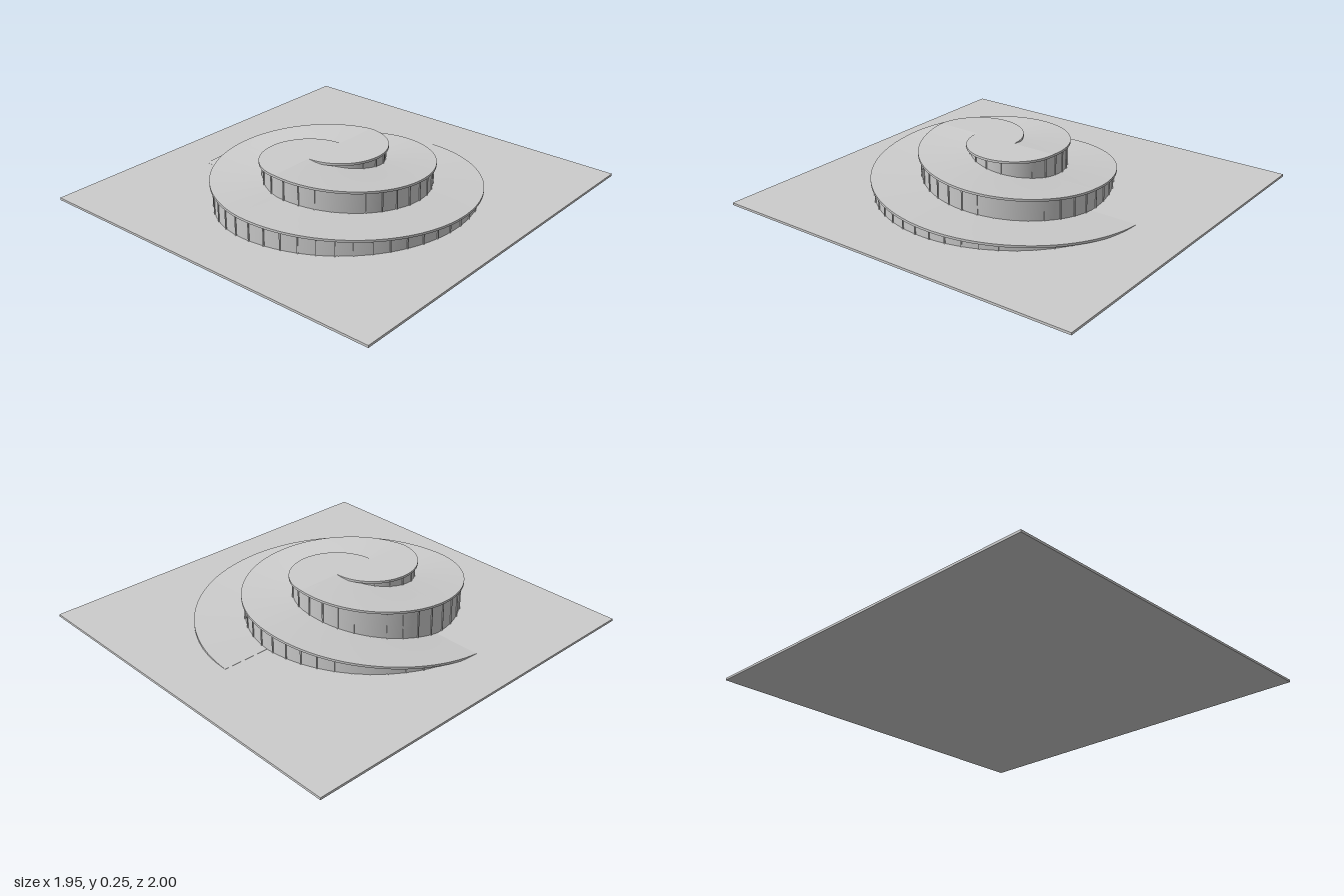
import * as THREE from 'three';

const BASE = 0.012; // plate thickness
const SLAB = 0.012; // ramp thickness
const STEP = 0.2385; // spiral pitch per half turn
const RIGHT = 0.0125; // z centre of the +x semicircles
const LEFT = RIGHT + STEP; // z centre of the -x semicircles
const PI = Math.PI;
const mix = THREE.MathUtils.lerp;
const material = new THREE.MeshStandardMaterial({ color: 0xcccccc });

// Box bent around a vertical axis; bottom and top are [start, end] heights.
function bentBox(name, { cz, a0, a1, rIn, rOut, bottom, top, n }) {
  const geo = new THREE.BoxGeometry(1, 1, 1, n, 1, 1);
  const p = geo.attributes.position;
  for (let i = 0; i < p.count; i++) {
    const t = p.getX(i) + 0.5;
    const a = mix(a0, a1, t);
    const r = mix(rIn, rOut, 0.5 - p.getZ(i));
    const y = mix(mix(...bottom, t), mix(...top, t), p.getY(i) + 0.5);
    p.setXYZ(i, r * Math.sin(a), y, cz - r * Math.cos(a));
  }
  geo.computeVertexNormals();
  const mesh = new THREE.Mesh(geo, material);
  mesh.name = name;
  return mesh;
}

// One arc of ramp with the glazed wall and mullions under its outer edge.
// ring: radius in pitches; top: ramp heights; floor: heights of the surface below.
function rampArc(name, { cz, ring, a0, a1, top, floor }) {
  const group = new THREE.Group();
  group.name = name;
  const r = ring * STEP;
  const n = Math.round((a1 - a0) / PI * 64);
  const under = top.map((y) => y - SLAB);
  group.add(bentBox('rampSlab', {
    cz, a0, a1, n, top, bottom: under,
    rIn: Math.max(0.0005, (ring - 1) * STEP - 0.022), rOut: r,
  }));

  const foot = floor.map((y, i) => Math.max(0.001, Math.min(y - 0.004, under[i])));
  const roof = under.map((y, i) => Math.max(y + 0.003, foot[i]));
  group.add(bentBox('wall', {
    cz, a0, a1, n, bottom: foot, top: roof, rIn: r - 0.021, rOut: r - 0.017,
  }));

  const count = Math.round(r * (a1 - a0) / 0.085);
  const half = 0.003 / r;
  for (let i = 0; i < count; i++) {
    const t = (i + 0.5) / count;
    const a = mix(a0, a1, t);
    const low = mix(...foot, t);
    const high = mix(...roof, t);
    if (high - low < 0.006) continue;
    group.add(bentBox('mullion', {
      cz, a0: a - half, a1: a + half, n: 1,
      bottom: [low, low], top: [high, high], rIn: r - 0.021, rOut: r - 0.012,
    }));
  }
  return group;
}

export function createModel() {
  const model = new THREE.Group();
  model.name = 'spiralRampPavilion';

  const plate = new THREE.Mesh(new THREE.BoxGeometry(1.95, BASE, 2), material);
  plate.name = 'basePlate';
  plate.position.y = BASE / 2;
  model.add(plate);

  const low = 0.013, mid = 0.13, midHigh = 0.19, high = 0.25;
  const ground = [BASE, BASE];

  // First ramp: from the back, round the +x side and up to the centre
  model.add(
    rampArc('firstRampLower', { cz: RIGHT, ring: 3, a0: 0, a1: PI, top: [low, mid], floor: ground }),
    rampArc('firstRampMiddle', { cz: LEFT, ring: 2, a0: PI, a1: 1.5 * PI, top: [mid, midHigh], floor: ground }),
    rampArc('firstRampUpper', { cz: LEFT, ring: 2, a0: 1.5 * PI, a1: 2 * PI, top: [midHigh, high], floor: [low, mid] }),
    rampArc('firstRampTop', { cz: RIGHT, ring: 1, a0: 0, a1: PI, top: [high, high], floor: [mid, high] }),
  );

  // Second ramp: from the -x side, round the back and up to the centre
  model.add(
    rampArc('secondRampLower', { cz: LEFT, ring: 3, a0: 1.5 * PI, a1: 2 * PI, top: [low, mid], floor: ground }),
    rampArc('secondRampUpper', { cz: RIGHT, ring: 2, a0: 0, a1: PI, top: [mid, high], floor: [low, mid] }),
    rampArc('secondRampTop', { cz: LEFT, ring: 1, a0: PI, a1: 2 * PI, top: [high, high], floor: [mid, high] }),
  );
  return model;
}
